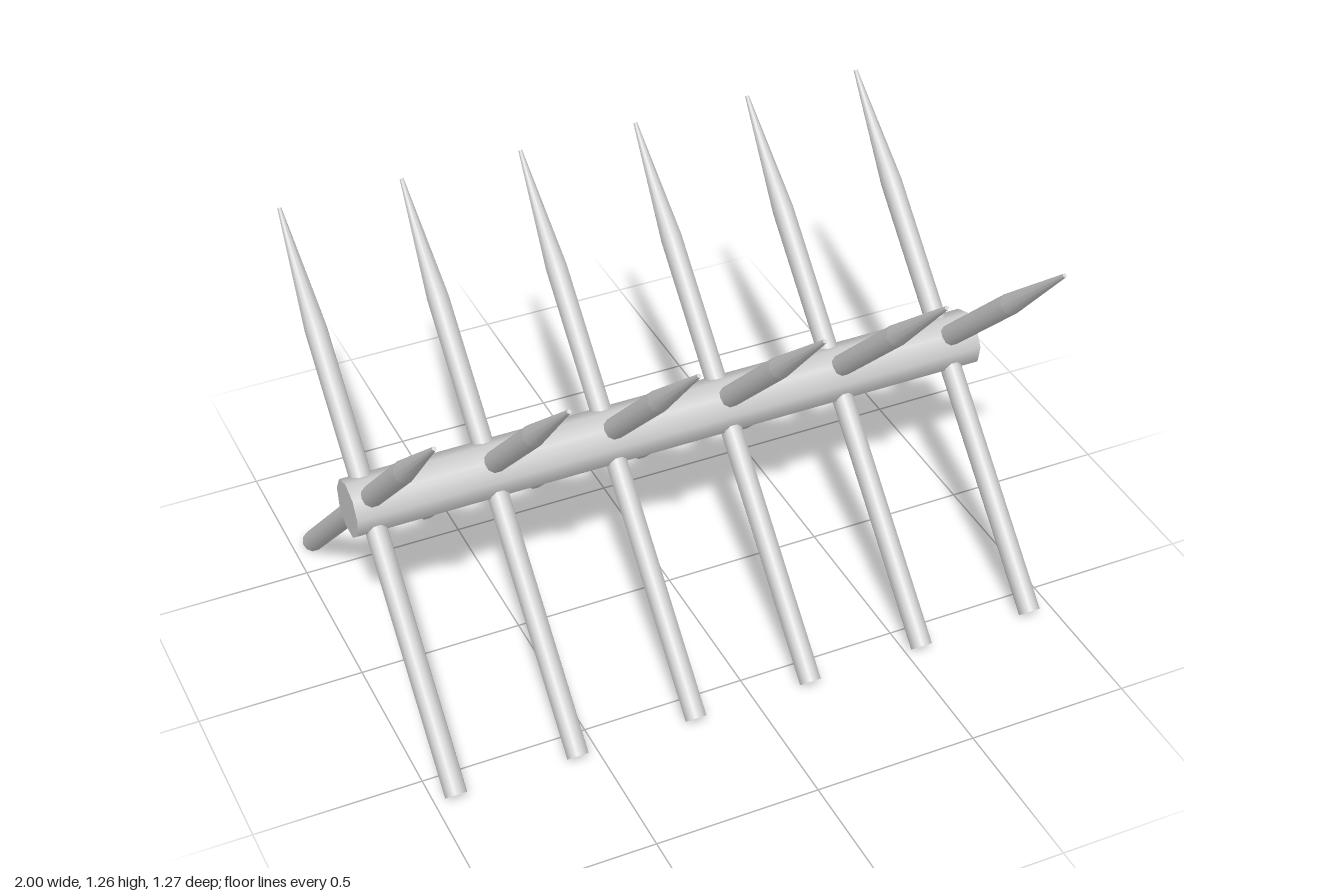
import * as THREE from 'three';

const material = new THREE.MeshStandardMaterial({ color: 0xcccccc });

// Cylinder along y between two heights, open where it meets its neighbour
function post(name, rTop, rBottom, y0, y1) {
  const geometry = new THREE.CylinderGeometry(rTop, rBottom, y1 - y0, 10, 1, false, Math.PI / 2);
  geometry.translate(0, (y0 + y1) / 2, 0);
  const mesh = new THREE.Mesh(geometry, material);
  mesh.name = name;
  return mesh;
}

// Round stake with a sharpened upper end, its origin at the crossing point
function makeStake(name, x, tilt) {
  const stake = new THREE.Group();
  stake.name = name;
  stake.add(
    post('shaft', 0.033, 0.033, -0.867, 0.509),
    post('sharpenedTip', 0.006, 0.033, 0.509, 0.872)
  );
  stake.position.set(x, 0.637, 0);
  stake.rotation.x = tilt;
  return stake;
}

export function createModel() {
  const barricade = new THREE.Group();
  barricade.name = 'spikedBarricade';

  // Nine-sided log lying along x, one corner pointing up
  const logGeometry = new THREE.CylinderGeometry(0.088, 0.088, 2, 9, 1, false, -Math.PI / 2);
  logGeometry.rotateZ(-Math.PI / 2);
  const log = new THREE.Mesh(logGeometry, material);
  log.name = 'log';
  log.position.y = 0.623;
  barricade.add(log);

  // Six crossed pairs of stakes
  for (let i = 0; i < 6; i++) {
    const x = -0.94 + i * 0.371;
    barricade.add(
      makeStake('forwardStake', x, Math.PI / 4),
      makeStake('backwardStake', x, -Math.PI / 4)
    );
  }
  return barricade;
}
